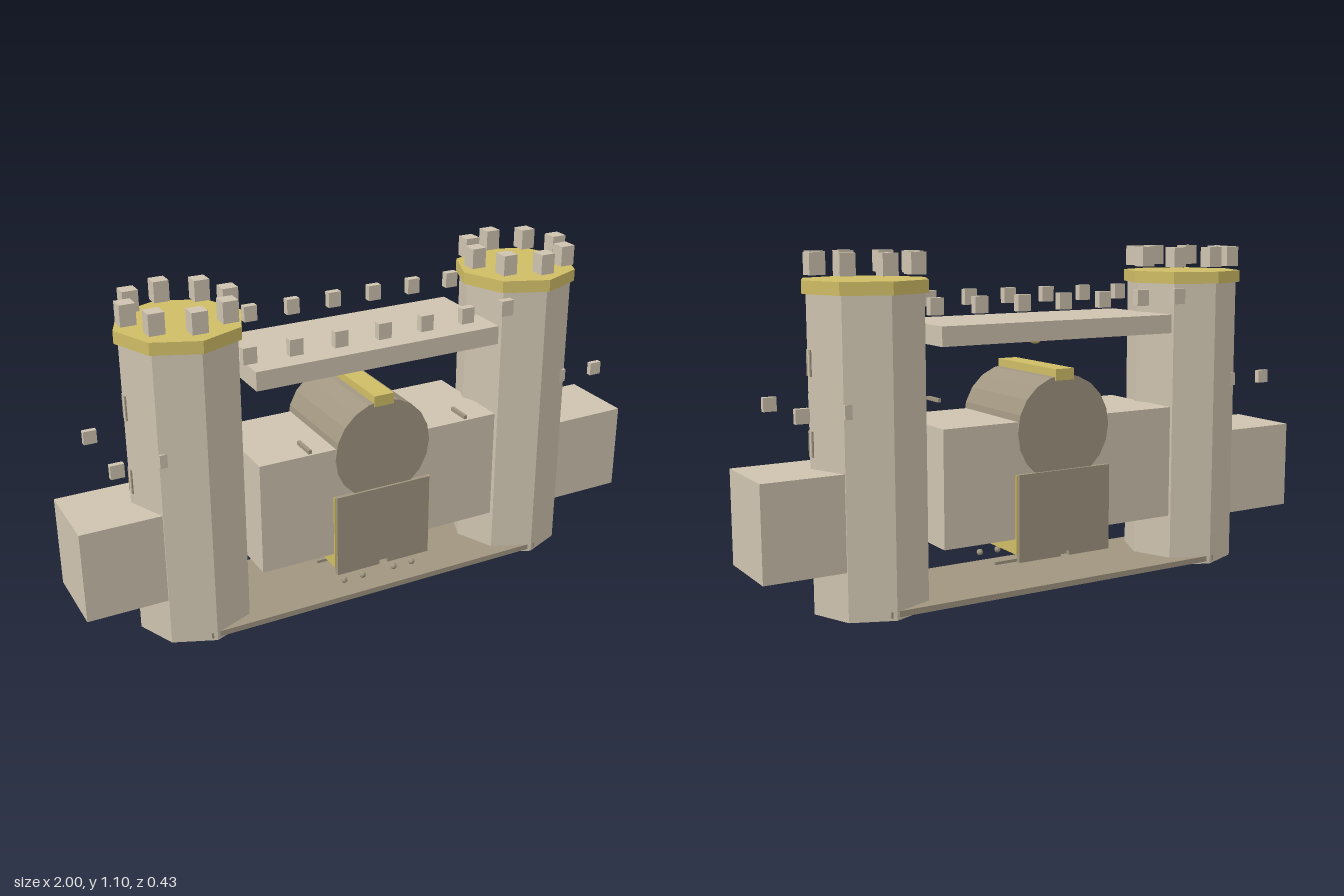
import * as THREE from 'three';

export function createModel() {
  const root = new THREE.Group();
  const castle = new THREE.Group();
  castle.name = 'castle';
  castle.position.z = -0.009;
  root.add(castle);

  const mat = (name, color) => {
    const m = new THREE.MeshStandardMaterial({ color, flatShading: true });
    m.name = name;
    return m;
  };
  const stone = mat('paleStone', 0xcec3af);
  const dark = mat('darkStone', 0xa09580);
  const gold = mat('gold', 0xcfbd66);

  const add = (name, geometry, material, x = 0, y = 0, z = 0) => {
    const m = new THREE.Mesh(geometry, material);
    m.name = name;
    m.position.set(x, y, z);
    castle.add(m);
    return m;
  };
  // box given by its centre in x and z and its bottom and top in y
  const box = (name, material, w, y0, y1, d, x = 0, z = 0) =>
    add(name, new THREE.BoxGeometry(w, y1 - y0, d), material, x, (y0 + y1) / 2, z);

  // walls and floor
  box('floorPlate', dark, 1.244, 0.008, 0.027, 0.371);
  box('gateWall', stone, 0.864, 0.19, 0.567, 0.342);
  box('upperBridge', stone, 0.864, 0.818, 0.88, 0.342);

  for (const s of [-1, 1]) {
    // octagonal towers with battlements
    const cx = s * 0.604;
    add('tower', new THREE.CylinderGeometry(0.19, 0.19, 0.98, 8), stone, cx, 0.49);
    add('towerCap', new THREE.CylinderGeometry(0.203, 0.203, 0.04, 8), gold, cx, 1.0);
    for (let i = 0; i < 8; i++) {
      const a = (i * Math.PI) / 4;
      box('towerMerlon', stone, 0.05, 1.035, 1.102, 0.05,
        cx + 0.161 * Math.cos(a), 0.161 * Math.sin(a));
    }
    // arrow slits on the outer corner
    for (const y of [0.53, 0.775])
      box('arrowSlit', dark, 0.009, y - 0.04, y + 0.04, 0.032, cx + s * 0.183);

    // outer wall stubs with their small merlons
    box('sideWall', stone, 0.3, 0.155, 0.455, 0.264, s * 0.85);
    for (const x of [0.717, 0.869])
      for (const f of [-1, 1])
        box('sideMerlon', stone, 0.043, 0.618, 0.662, 0.018, s * x, f * 0.135);

    // hanging rods and flag poles
    box('hangingRod', dark, 0.011, 0.14, 0.2, 0.011, s * 0.302);
    box('flagPole', dark, 0.012, 0.599, 0.611, 0.082, s * 0.283, 0.181);
  }

  // bridge merlons, front and back
  for (let i = -3; i <= 3; i++)
    for (const f of [-1, 1])
      box('bridgeMerlon', stone, 0.045, 0.915, 0.967, 0.026, i * 0.1515, f * 0.172);

  // gate passage: gold surround, round vault and keystone
  box('gateSurround', gold, 0.356, 0.14, 0.398, 0.355);
  const vault = add('gateVault', new THREE.CylinderGeometry(0.172, 0.172, 0.356, 20), dark, 0, 0.535);
  vault.rotation.x = Math.PI / 2;
  box('keystone', gold, 0.07, 0.69, 0.727, 0.364);

  // notched gate panels, front and back
  const panel = new THREE.Shape([
    [-0.172, 0.115], [-0.016, 0.115], [-0.016, 0.13], [0.016, 0.13],
    [0.016, 0.115], [0.172, 0.115], [0.172, 0.4], [-0.172, 0.4],
  ].map(([x, y]) => new THREE.Vector2(x, y)));
  const panelGeo = new THREE.ExtrudeGeometry(panel, { depth: 0.016, bevelEnabled: false });
  panelGeo.translate(0, 0, -0.008);
  for (const f of [-1, 1]) add('gatePanel', panelGeo, dark, 0, 0, f * 0.178);

  // cross bar and studs below the gate
  box('crossBar', dark, 0.315, 0.062, 0.072, 0.01);
  for (const x of [-0.13, -0.06, 0.06, 0.13])
    add('stud', new THREE.SphereGeometry(0.011, 10, 8), dark, x, 0.067, 0.15);

  // lamp under the bridge
  add('lamp', new THREE.SphereGeometry(0.027, 14, 10), gold, 0, 0.818);

  return root;
}
